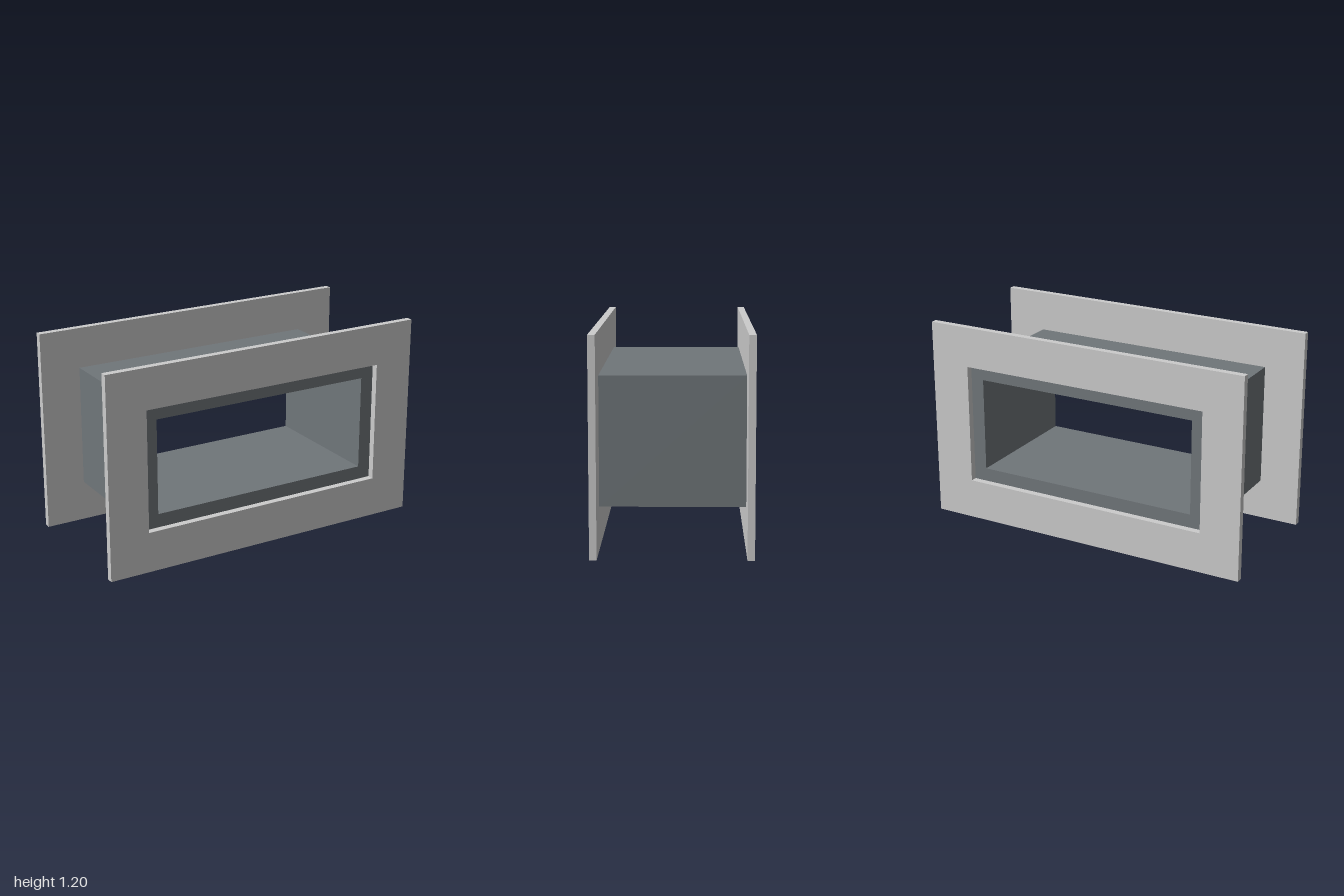
import * as THREE from 'three';

// Rectangular frame with a rectangular opening, centred on the origin
function frameGeometry(w, h, holeW, holeH, depth) {
  const rect = (path, a, b) => path
    .moveTo(-a / 2, -b / 2).lineTo(a / 2, -b / 2)
    .lineTo(a / 2, b / 2).lineTo(-a / 2, b / 2).closePath();
  const shape = rect(new THREE.Shape(), w, h);
  shape.holes.push(rect(new THREE.Path(), holeW, holeH));
  return new THREE.ExtrudeGeometry(shape, { depth, bevelEnabled: false })
    .translate(0, 0, -depth / 2);
}

export function createModel() {
  const group = new THREE.Group();
  group.name = 'wallSleeve';
  const flangeMaterial = new THREE.MeshStandardMaterial({ color: 0xcccccc });
  const sleeveMaterial = new THREE.MeshStandardMaterial({ color: 0x70767a });

  const add = (name, geometry, material, z) => {
    const mesh = new THREE.Mesh(geometry, material);
    mesh.name = name;
    mesh.position.set(0, 0.6, z);
    group.add(mesh);
  };

  // Thick-walled rectangular duct between the flanges
  add('sleeve', frameGeometry(1.52, 0.72, 1.36, 0.56, 0.8), sleeveMaterial, 0);

  // Thin flanges, open to the duct's outer size
  const flange = frameGeometry(2, 1.2, 1.52, 0.72, 0.04);
  add('frontFlange', flange, flangeMaterial, 0.42);
  add('backFlange', flange, flangeMaterial, -0.42);

  return group;
}
